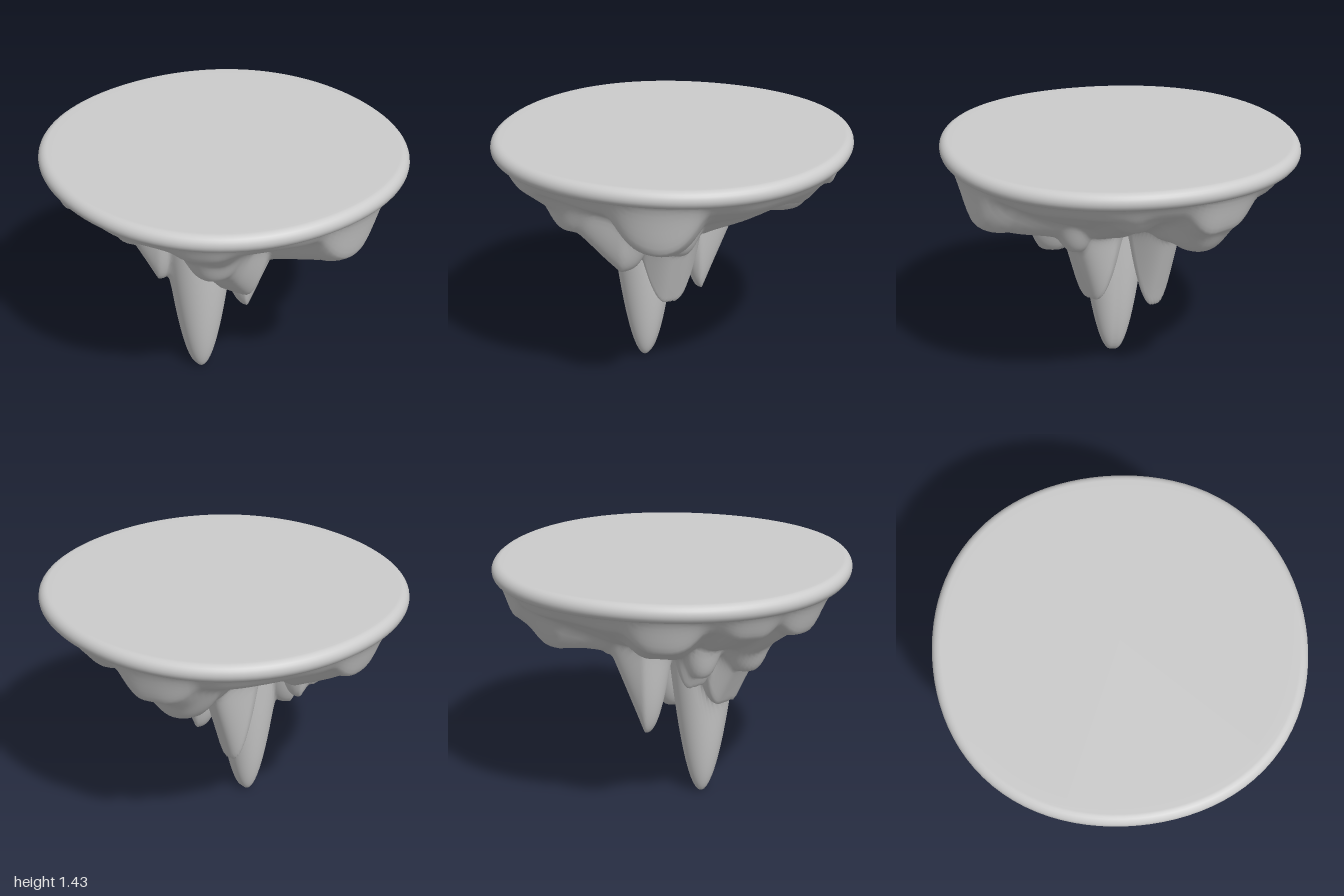
import * as THREE from 'three';

const material = new THREE.MeshStandardMaterial({ color: 0xcccccc, side: THREE.DoubleSide });

// Rock ridges: [tip x, z, y,  outer end x, z, y,  flat core radius, steepness]
const ridges = [
  [-0.015, 0.175, 0.0, 0.015, 0.175, 0.0, 0, 24],      // main spike
  [-0.18, -0.12, 0.41, -0.22, -0.3, 0.9, 0.015, 24],   // rear spike
  [0.18, -0.05, 0.47, 0.28, -0.14, 0.82, 0.03, 16],    // side spike
  [-0.17, 0.35, 0.64, -0.23, 0.46, 0.88, 0.06, 20],    // front lump
  [-0.23, 0.46, 0.92, -0.36, 0.75, 1.16, 0.06, 6],     // front lump tail
  [0.35, 0.19, 0.72, 0.45, 0.4, 0.97, 0.07, 16],       // front left lump
  [0.45, 0.4, 0.98, 0.65, 0.62, 1.24, 0.06, 7],        // front left tail
  [-0.39, 0.23, 0.8, -0.42, 0.26, 0.88, 0.04, 28],     // right lump
  [-0.55, 0.08, 1.0, -0.8, 0.16, 1.14, 0.06, 6],       // right shoulder
  [0.33, -0.04, 0.87, 0.72, -0.19, 1.02, 0.07, 6],     // left shoulder
  [0.14, -0.25, 0.92, 0.1, -0.72, 1.14, 0.03, 8],      // rear middle ridge
  [-0.22, -0.36, 0.93, -0.3, -0.57, 0.95, 0.05, 9],    // rear right ridge
  [-0.3, -0.57, 0.97, -0.35, -0.8, 1.13, 0.06, 6],     // rear right tail
  [-0.48, 0.42, 1.07, -0.68, 0.58, 1.2, 0.05, 6],      // front right shoulder
];

// Outline factor: the round plan bulges slightly on its diagonals
const bulge = (a) => 1 + 0.012 * (1 - Math.cos(4 * a));

// Height of the underside: a soft minimum of a shallow cone and all ridges
function rockHeight(x, z) {
  const r = Math.hypot(x, z) / bulge(Math.atan2(z, x)), sharp = 40;
  const base = 0.84 + 0.49 * Math.pow(r, 1.2);
  let sum = Math.exp(-sharp * base);
  for (const [x0, z0, y0, x1, z1, y1, core, k] of ridges) {
    const dx = x1 - x0, dz = z1 - z0;
    const t = THREE.MathUtils.clamp(((x - x0) * dx + (z - z0) * dz) / (dx * dx + dz * dz), 0, 1);
    const d = Math.max(0, Math.hypot(x - x0 - dx * t, z - z0 - dz * t) - core);
    sum += Math.exp(-sharp * (y0 + (y1 - y0) * t + k * d * d));
  }
  const ripple = 0.01 * Math.sin(9 * x + 4 * z) * Math.sin(11 * z - 3 * x);
  const y = Math.max(0, -Math.log(sum) / sharp + ripple);
  const edge = THREE.MathUtils.smoothstep(r, 0.88, 0.99);
  return THREE.MathUtils.lerp(Math.min(y, 1.34), 1.36, edge);
}

// Polar grid facing downwards, bent to the rock height
function rockGeometry(rings = 80, sides = 180) {
  const points = [0, rockHeight(0, 0), 0], index = [];
  for (let i = 1; i <= rings; i++) {
    for (let j = 0; j < sides; j++) {
      const a = j / sides * Math.PI * 2, r = 0.985 * bulge(a) * i / rings;
      const x = r * Math.cos(a), z = r * Math.sin(a);
      points.push(x, rockHeight(x, z), z);
    }
  }
  for (let j = 0; j < sides; j++) {
    const n = (j + 1) % sides;
    index.push(0, 1 + j, 1 + n);
    for (let i = 0; i < rings - 1; i++) {
      const a = 1 + i * sides + j, b = 1 + i * sides + n;
      index.push(a, a + sides, b + sides, a, b + sides, b);
    }
  }
  const geometry = new THREE.BufferGeometry();
  geometry.setAttribute('position', new THREE.Float32BufferAttribute(points, 3));
  geometry.setIndex(index);
  geometry.computeVertexNormals();
  return geometry;
}

// Flat disc with a rounded rim
function discGeometry() {
  const profile = [];
  for (let i = 0; i <= 12; i++) {
    const a = -Math.PI / 2 + Math.PI * i / 12;
    profile.push(new THREE.Vector2(0.95 + 0.05 * Math.cos(a), 1.39 + 0.05 * Math.sin(a)));
  }
  profile.push(new THREE.Vector2(0.9, 1.44), new THREE.Vector2(0, 1.44));
  const geometry = new THREE.LatheGeometry(profile, 96);
  const p = geometry.attributes.position;
  for (let i = 0; i < p.count; i++) {
    const f = bulge(Math.atan2(p.getZ(i), p.getX(i)));
    p.setXYZ(i, p.getX(i) * f, p.getY(i), p.getZ(i) * f);
  }
  return geometry;
}

export function createModel() {
  const group = new THREE.Group();
  group.name = 'floatingIsland';

  const disc = new THREE.Mesh(discGeometry(), material);
  disc.name = 'topDisc';

  // Hanging rock below the disc
  const rock = new THREE.Mesh(rockGeometry(), material);
  rock.name = 'rockUnderside';

  group.add(disc, rock);
  return group;
}
